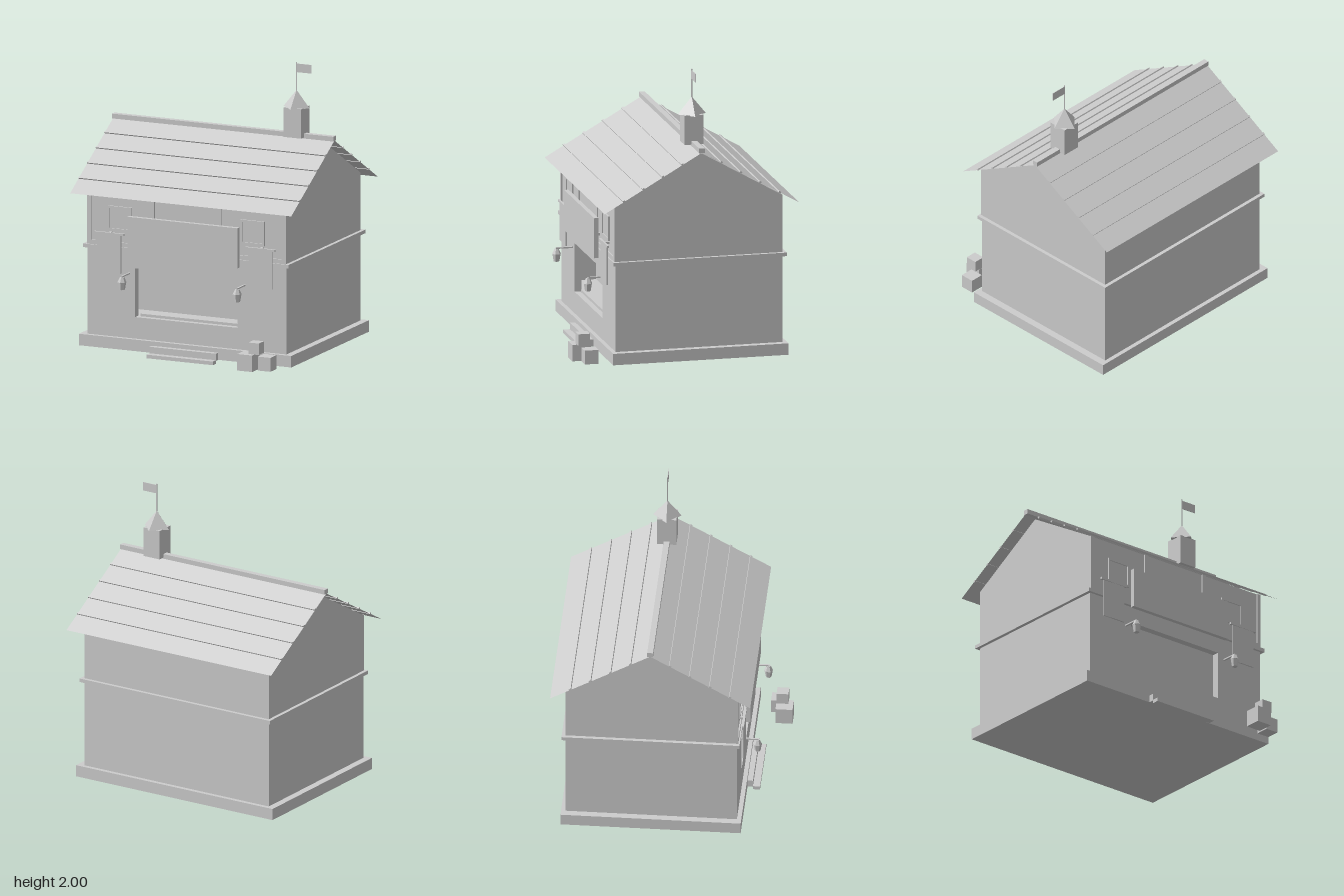
import * as THREE from 'three';

export function createModel() {
  const model = new THREE.Group();
  const grey = new THREE.MeshStandardMaterial({ color: 0xcccccc, flatShading: true, side: THREE.DoubleSide });
  grey.name = 'plain grey';

  const add = (name, geometry, x = 0, y = 0, z = 0, parent = model) => {
    const mesh = new THREE.Mesh(geometry, grey);
    mesh.name = name;
    mesh.position.set(x, y, z);
    parent.add(mesh);
    return mesh;
  };
  // Box given by its minimum and maximum on each axis
  const box = (name, x0, x1, y0, y1, z0, z1, parent = model) =>
    add(name, new THREE.BoxGeometry(x1 - x0, y1 - y0, z1 - z0),
      (x0 + x1) / 2, (y0 + y1) / 2, (z0 + z1) / 2, parent);
  const polygon = points => new THREE.Shape(points.map(p => new THREE.Vector2(...p)));
  const rectangle = (x0, x1, y0, y1) => [[x0, y0], [x1, y0], [x1, y1], [x0, y1]];
  const extrude = (shape, depth) => new THREE.ExtrudeGeometry(shape, { depth, bevelEnabled: false });

  // Foundation and front steps
  box('foundation', -0.8, 0.8, 0.02, 0.1, -0.7, 0.53);
  box('upperStep', -0.25, 0.25, 0.02, 0.07, 0.53, 0.567);
  box('lowerStep', -0.25, 0.25, 0, 0.025, 0.567, 0.615);

  // Gable end walls
  const ridgeZ = -0.085;
  for (const x of [-0.75, 0.7]) {
    const gable = polygon([[-0.5, 0.1], [0.67, 0.1], [0.67, 1.13], [-ridgeZ, 1.465], [-0.5, 1.13]]);
    const wall = add('gableWall', extrude(gable, 0.05), x, 0, 0);
    wall.rotation.y = Math.PI / 2;
  }
  box('backWall', -0.7, 0.7, 0.1, 1.13, -0.67, -0.62);

  // Front wall with the serving opening, and the shallow room behind it
  const front = polygon(rectangle(-0.7, 0.7, 0.1, 1.13));
  front.holes.push(new THREE.Path(rectangle(-0.39, 0.38, 0.25, 0.59).map(p => new THREE.Vector2(...p))));
  add('frontWall', extrude(front, 0.05), 0, 0, 0.45);
  box('innerPartition', -0.7, 0.7, 0.1, 1.13, 0.24, 0.27);
  box('counter', -0.7, 0.7, 0.22, 0.25, 0.27, 0.45);
  box('counterLip', -0.37, 0.37, 0.25, 0.268, 0.44, 0.46);

  // Belt course and front timbers
  box('beltCourse', -0.775, 0.775, 0.705, 0.73, -0.695, 0.52);
  box('sillTimber', -0.75, 0.75, 0.73, 0.76, 0.5, 0.51);
  for (const x of [-0.735, -0.257, 0.25, 0.735])
    box('postTimber', x - 0.015, x + 0.015, 0.76, 1.13, 0.5, 0.51);

  // Upper windows
  for (const x of [-0.503, 0.497]) {
    const frame = polygon(rectangle(-0.09, 0.09, 0.84, 1.01));
    frame.holes.push(new THREE.Path(rectangle(-0.077, 0.077, 0.855, 0.995).map(p => new THREE.Vector2(...p))));
    add('windowFrame', extrude(frame, 0.012), x, 0, 0.5);
    box('windowPane', x - 0.077, x + 0.077, 0.855, 0.995, 0.5, 0.504);
  }

  // Signboard
  box('signboard', -0.418, 0.413, 0.68, 0.96, 0.535, 0.566);
  for (const x of [-0.3, 0.3]) box('signBracket', x - 0.01, x + 0.01, 0.81, 0.83, 0.5, 0.535);

  // Hanging banners and lanterns on both sides of the opening
  for (const side of [-1, 1]) {
    const banner = new THREE.Group();
    banner.name = 'banner';
    banner.position.x = side * 0.57;
    model.add(banner);
    box('bannerCloth', -0.09, 0.09, 0.55, 0.815, 0.53, 0.537, banner);
    box('bannerStripe', -0.022, 0.09, 0.55, 0.815, 0.537, 0.54, banner);
    box('bannerRod', -0.112, 0.112, 0.815, 0.83, 0.528, 0.543, banner);
    box('bannerRodBracket', -0.01, 0.01, 0.815, 0.83, 0.5, 0.53, banner);

    const lantern = new THREE.Group();
    lantern.name = 'lantern';
    lantern.position.set(side * 0.434, 0, 0.615);
    model.add(lantern);
    box('lanternArm', -0.006, 0.006, 0.547, 0.556, -0.115, 0.005, lantern);
    add('lanternCap', new THREE.CylinderGeometry(0.015, 0.031, 0.035, 6), 0, 0.53, 0, lantern);
    add('lanternBody', new THREE.CylinderGeometry(0.029, 0.02, 0.053, 6), 0, 0.4865, 0, lantern);
  }

  // Roof: two thin slopes, each crossed by four battens
  const rise = 0.39, run = 0.683, ridgeY = 1.48;
  for (const side of [-1, 1]) {
    const slope = new THREE.PlaneGeometry(1.666, Math.hypot(rise, run));
    slope.rotateX(-Math.PI / 2);
    const mesh = add('roofSlope', slope, 0, ridgeY - rise / 2, ridgeZ + side * run / 2);
    mesh.rotation.x = side * Math.atan2(rise, run);
    for (let i = 1; i <= 4; i++) {
      const t = i / 5;
      const batten = add('roofBatten', new THREE.BoxGeometry(1.666, 0.012, 0.016),
        0, ridgeY - rise * t + 0.003, ridgeZ + side * run * t);
      batten.rotation.x = mesh.rotation.x;
    }
  }
  box('ridgeCap', -0.833, 0.833, 1.477, 1.51, ridgeZ - 0.02, ridgeZ + 0.02);

  // Turret with pointed roof, pole and flag
  const turretX = 0.547;
  box('turret', turretX - 0.066, turretX + 0.066, 1.485, 1.69, ridgeZ - 0.066, ridgeZ + 0.066);
  add('turretRoof', new THREE.ConeGeometry(0.098, 0.12, 4), turretX, 1.746, ridgeZ);
  add('flagPole', new THREE.CylinderGeometry(0.004, 0.004, 0.22, 6), turretX, 1.89, ridgeZ);
  box('flag', turretX, 0.66, 1.93, 1.99, ridgeZ - 0.002, ridgeZ + 0.002);

  // Stacked crates
  box('largeCrate', 0.508, 0.622, 0.02, 0.135, 0.655, 0.772);
  box('smallCrate', 0.635, 0.73, 0.02, 0.117, 0.615, 0.712);
  box('topCrate', 0.577, 0.655, 0.135, 0.215, 0.657, 0.738);

  return model;
}
